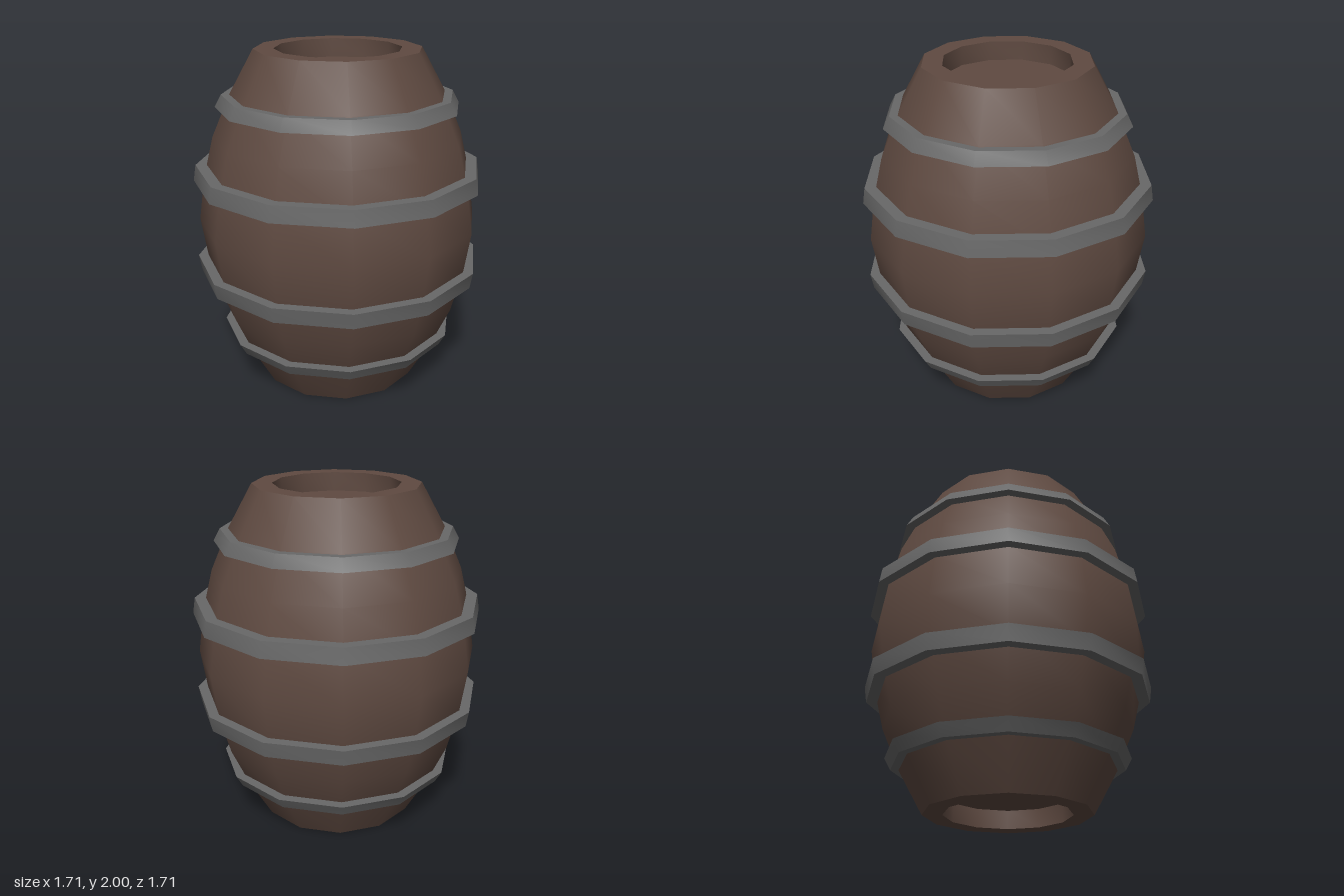
import * as THREE from 'three';
import { toCreasedNormals } from 'three/addons/utils/BufferGeometryUtils.js';

const SIDES = 12;

// Twelve-sided turned solid: profile runs counterclockwise as [radius, height]
function turned(name, profile, material) {
  const points = profile.map(([r, y]) => new THREE.Vector2(r, y));
  const geometry = toCreasedNormals(new THREE.LatheGeometry(points, SIDES), 0.75);
  const mesh = new THREE.Mesh(geometry, material);
  mesh.name = name;
  return mesh;
}

export function createModel() {
  const wood = new THREE.MeshStandardMaterial({ color: 0x5f4a41 });
  wood.name = 'brown wood';
  const iron = new THREE.MeshStandardMaterial({ color: 0x686868 });
  iron.name = 'grey iron';

  const barrel = new THREE.Group();
  barrel.name = 'barrel';

  // Bulging body with a recessed lid at each end
  const lower = [
    [0, 0.11], [0.365, 0.11], [0.365, 0], [0.48, 0],
    [0.62, 0.25], [0.73, 0.5], [0.793, 0.75],
  ];
  const upper = lower.map(([r, y]) => [r, 2 - y]).reverse();
  barrel.add(turned('body', [...lower, [0.83, 1], ...upper], wood));

  // Hoops: mirrored pairs, wider on the edge nearest the middle
  const hoops = [
    { name: 'endHoop', inner: 0.56, y0: 1.675, y1: 1.745, wide: 0.708, narrow: 0.67 },
    { name: 'middleHoop', inner: 0.7, y0: 1.24, y1: 1.333, wide: 0.853, narrow: 0.838 },
  ];
  for (const { name, inner, y0, y1, wide, narrow } of hoops) {
    const top = [[inner, y0], [wide, y0], [narrow, y1], [inner, y1], [inner, y0]];
    const bottom = top.map(([r, y]) => [r, 2 - y]).reverse();
    barrel.add(turned(name + 'Top', top, iron), turned(name + 'Bottom', bottom, iron));
  }
  return barrel;
}
